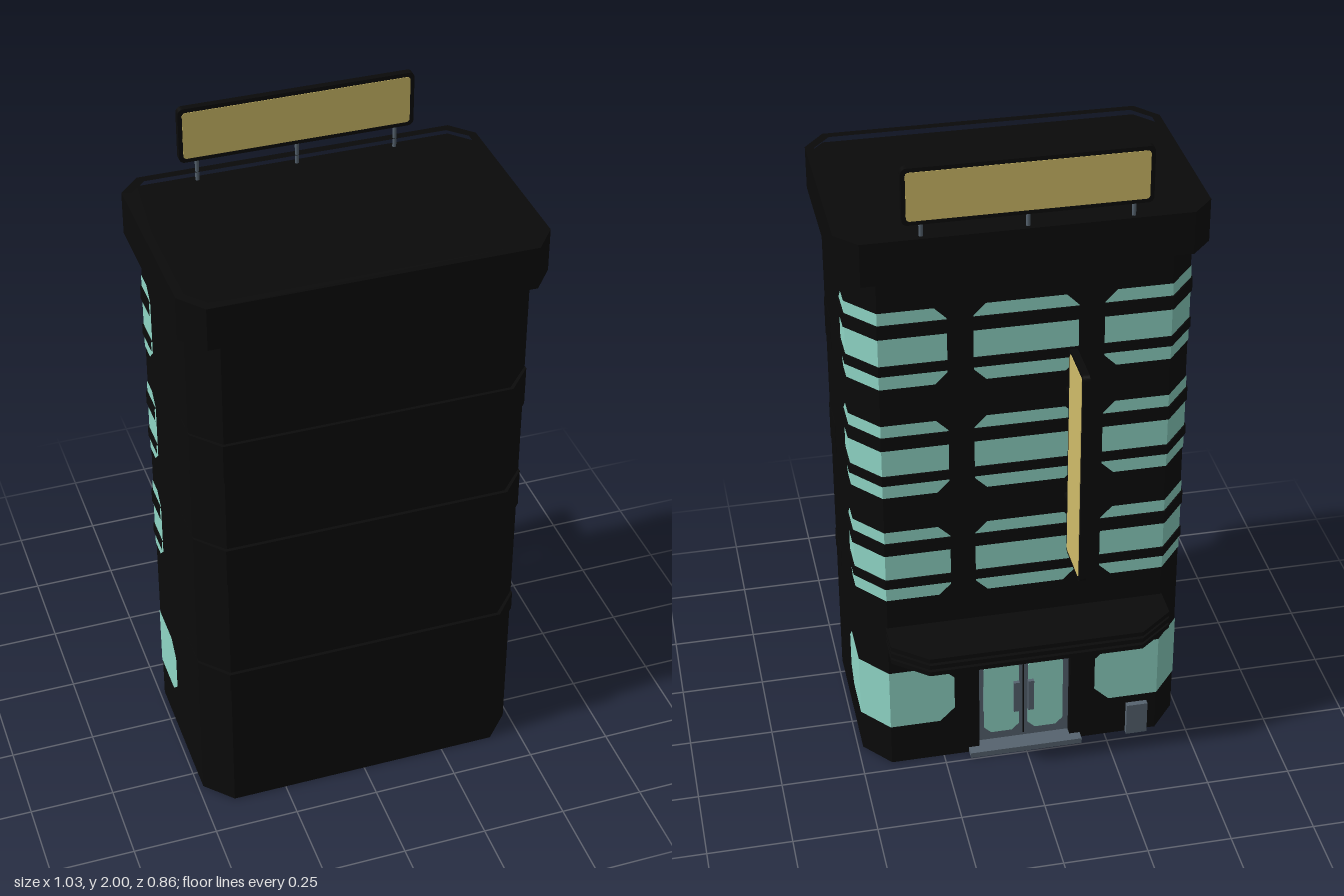
import * as THREE from 'three';

const material = (name, color) => {
  const m = new THREE.MeshStandardMaterial({ color });
  m.name = name;
  return m;
};

export function createModel() {
  const black = material('black wall', 0x0a0a0a);
  const glass = material('teal glass', 0x8fd6c6);
  const gold = material('gold sign', 0xd2be6a);
  const slate = material('slate metal', 0x56636f);

  const model = new THREE.Group();
  model.name = 'building';
  const add = (name, geometry, mat, x = 0, y = 0, z = 0, parent = model) => {
    const mesh = new THREE.Mesh(geometry, mat);
    mesh.name = name;
    mesh.position.set(x, y, z);
    parent.add(mesh);
    return mesh;
  };
  const box = (name, mat, w, h, d, x, y, z, parent) =>
    add(name, new THREE.BoxGeometry(w, h, d), mat, x, y, z, parent);

  // Horizontal slab from half an outline of [x, z] points, mirrored in x
  const outline = (half) => [...half, ...half.map(([x, z]) => [-x, z]).reverse()]
    .map(([x, z]) => new THREE.Vector2(x, -z));
  const slab = (name, half, y0, y1, mat = black, hole) => {
    const shape = new THREE.Shape(outline(half));
    if (hole) shape.holes.push(new THREE.Path(outline(hole)));
    const g = new THREE.ExtrudeGeometry(shape, { depth: y1 - y0, bevelEnabled: false });
    g.rotateX(-Math.PI / 2);
    return add(name, g, mat, 0, y0, 0);
  };

  // Main body, with a doorway notch in the ground floor
  const body = [[0.41, -0.215], [0.485, -0.125], [0.485, 0.31], [0.41, 0.39]];
  slab('groundFloor', [[0.14, -0.185], [0.14, -0.215], ...body], 0, 0.345);
  slab('upperFloors', body, 0.345, 1.7);

  // Floor bands around the rear corners
  for (const [y0, y1] of [[0.45, 0.51], [0.85, 0.97], [1.21, 1.33]])
    slab('rearBand', [[0.486, 0.2], [0.486, 0.32], [0.415, 0.4]], y0, y1);

  // Roof cap with a shallow parapet
  const cap = [[0.455, -0.25], [0.515, -0.185], [0.515, 0.355], [0.455, 0.43]];
  const capInner = [[0.44, -0.225], [0.49, -0.175], [0.49, 0.345], [0.44, 0.405]];
  slab('roofCap', cap, 1.67, 1.77);
  slab('parapet', cap, 1.77, 1.797, black, capInner);

  // Canopy of three stacked fins
  const canopy = (s) => [[0.415 - s, -0.2], [0.415 - s, -0.305], [0.315 - s * 0.5, -0.385 + s]];
  slab('canopyCore', canopy(0.014), 0.452, 0.508);
  for (let i = 0; i < 3; i++) slab('canopyFin', canopy(0), 0.45 + i * 0.023, 0.464 + i * 0.023);

  // Strip following the wall; each column is [x, z, outX, outZ, yLow, yHigh]
  const ribbon = (name, columns, offset, mat, side, thick) => {
    const v = [];
    const cols = columns.map(([x, z, ox, oz, lo, hi]) =>
      ({ x: side * x, z, ox: side * ox, oz, lo, hi }));
    if (side < 0) cols.reverse();
    const at = (c, y, o) => [c.x + c.ox * o, y, c.z + c.oz * o];
    const quad = (a, b, c, d) => v.push(...a, ...c, ...b, ...a, ...d, ...c);
    for (let i = 0; i + 1 < cols.length; i++) {
      const p = cols[i], q = cols[i + 1];
      quad(at(p, p.lo, offset), at(q, q.lo, offset), at(q, q.hi, offset), at(p, p.hi, offset));
      if (!thick) continue;
      quad(at(p, p.hi, offset), at(q, q.hi, offset), at(q, q.hi, 0), at(p, p.hi, 0));
      quad(at(p, p.lo, 0), at(q, q.lo, 0), at(q, q.lo, offset), at(p, p.lo, offset));
    }
    const g = new THREE.BufferGeometry();
    g.setAttribute('position', new THREE.Float32BufferAttribute(v, 3));
    g.computeVertexNormals();
    return add(name, g, mat);
  };

  // Columns of a window with cut corners, wrapping the corner or flat on the facade
  const wrapped = (x0, zEnd, lo, hi, cut) => [
    [x0, -0.215, 0, -1, lo + cut, hi - cut],
    [x0 + cut, -0.215, 0, -1, lo, hi],
    [0.41, -0.215, 0.4, -1, lo, hi],
    [0.485, -0.125, 1, -0.4, lo, hi],
    [0.485, zEnd - cut, 1, 0, lo, hi],
    [0.485, zEnd, 1, 0, lo + cut, hi - cut],
  ];
  const flat = (w, lo, hi, cut) => [
    [-w, -0.215, 0, -1, lo + cut, hi - cut],
    [-w + cut, -0.215, 0, -1, lo, hi],
    [w - cut, -0.215, 0, -1, lo, hi],
    [w, -0.215, 0, -1, lo + cut, hi - cut],
  ];

  // Upper windows, three floors of three, each crossed by two bars
  for (let floor = 0; floor < 3; floor++) {
    const y = 0.61 + floor * 0.358;
    const bars = [[y + 0.043, y + 0.074], [y + 0.16, y + 0.202]];
    ribbon('centreWindow', flat(0.147, y, y + 0.24, 0.035), 0.002, glass, 1);
    for (const [lo, hi] of bars)
      ribbon('centreWindowBar', flat(0.149, lo, hi, 0), 0.006, black, 1, true);
    for (const side of [1, -1]) {
      ribbon('cornerWindow', wrapped(0.22, -0.035, y, y + 0.24, 0.035), 0.002, glass, side);
      for (const [lo, hi] of bars)
        ribbon('cornerWindowBar', wrapped(0.218, -0.033, lo, hi, 0), 0.006, black, side, true);
    }
  }

  // Ground floor shop windows
  for (const side of [1, -1])
    ribbon('shopWindow', wrapped(0.215, 0.056, 0.138, 0.342, 0.045), 0.002, glass, side);

  // Double door in the recess
  const door = new THREE.Group();
  door.name = 'door';
  model.add(door);
  box('doorFrame', slate, 0.28, 0.32, 0.008, 0, 0.18, -0.188, door);
  for (const side of [1, -1]) {
    const w = 0.054, h = 0.132, c = 0.022;
    const pane = new THREE.Shape([[-w + c, -h], [w - c, -h], [w, -h + c], [w, h - c],
      [w - c, h], [-w + c, h], [-w, h - c], [-w, -h + c]].map(([x, y]) => new THREE.Vector2(x, y)));
    const g = new THREE.ExtrudeGeometry(pane, { depth: 0.003, bevelEnabled: false });
    add('doorGlass', g, glass, side * 0.068, 0.18, -0.195, door);
    box('doorHandle', slate, 0.018, 0.11, 0.012, side * 0.022, 0.18, -0.2, door);
  }
  box('doorCentreGap', black, 0.004, 0.3, 0.002, 0, 0.18, -0.193, door);
  box('doorStep', slate, 0.345, 0.018, 0.06, 0, 0.009, -0.215);
  box('wallBox', slate, 0.065, 0.11, 0.02, -0.348, 0.055, -0.222);

  // Rounded sign: black frame with gold faces on both sides
  const rounded = (w, h, r) => {
    const s = new THREE.Shape();
    const x = w / 2 - r, y = h / 2 - r;
    s.absarc(x, y, r, 0, Math.PI / 2);
    s.absarc(-x, y, r, Math.PI / 2, Math.PI);
    s.absarc(-x, -y, r, Math.PI, Math.PI * 1.5);
    s.absarc(x, -y, r, Math.PI * 1.5, Math.PI * 2);
    return s;
  };
  const sign = (name, w, h) => {
    const group = new THREE.Group();
    group.name = name;
    for (const [part, mat, inset, depth] of [['signFrame', black, 0, 0.02], ['signFace', gold, 0.024, 0.023]]) {
      const g = new THREE.ExtrudeGeometry(rounded(w - inset, h - inset, 0.016 - inset / 4),
        { depth, bevelEnabled: false, curveSegments: 4 });
      add(part, g, mat, 0, 0, -depth / 2, group);
    }
    model.add(group);
    return group;
  };
  sign('roofSign', 0.68, 0.165).position.set(0, 1.9175, -0.232);
  for (const x of [-0.288, 0, 0.288])
    add('roofSignPost', new THREE.CylinderGeometry(0.006, 0.006, 0.08, 8), slate, x, 1.805, -0.232);

  const blade = sign('bladeSign', 0.165, 0.68);
  blade.position.set(-0.12, 1.087, -0.344);
  blade.rotation.y = Math.PI / 2;
  for (const y of [0.91, 1.265]) box('bladeBracket', black, 0.012, 0.012, 0.06, -0.12, y, -0.238);

  return model;
}
